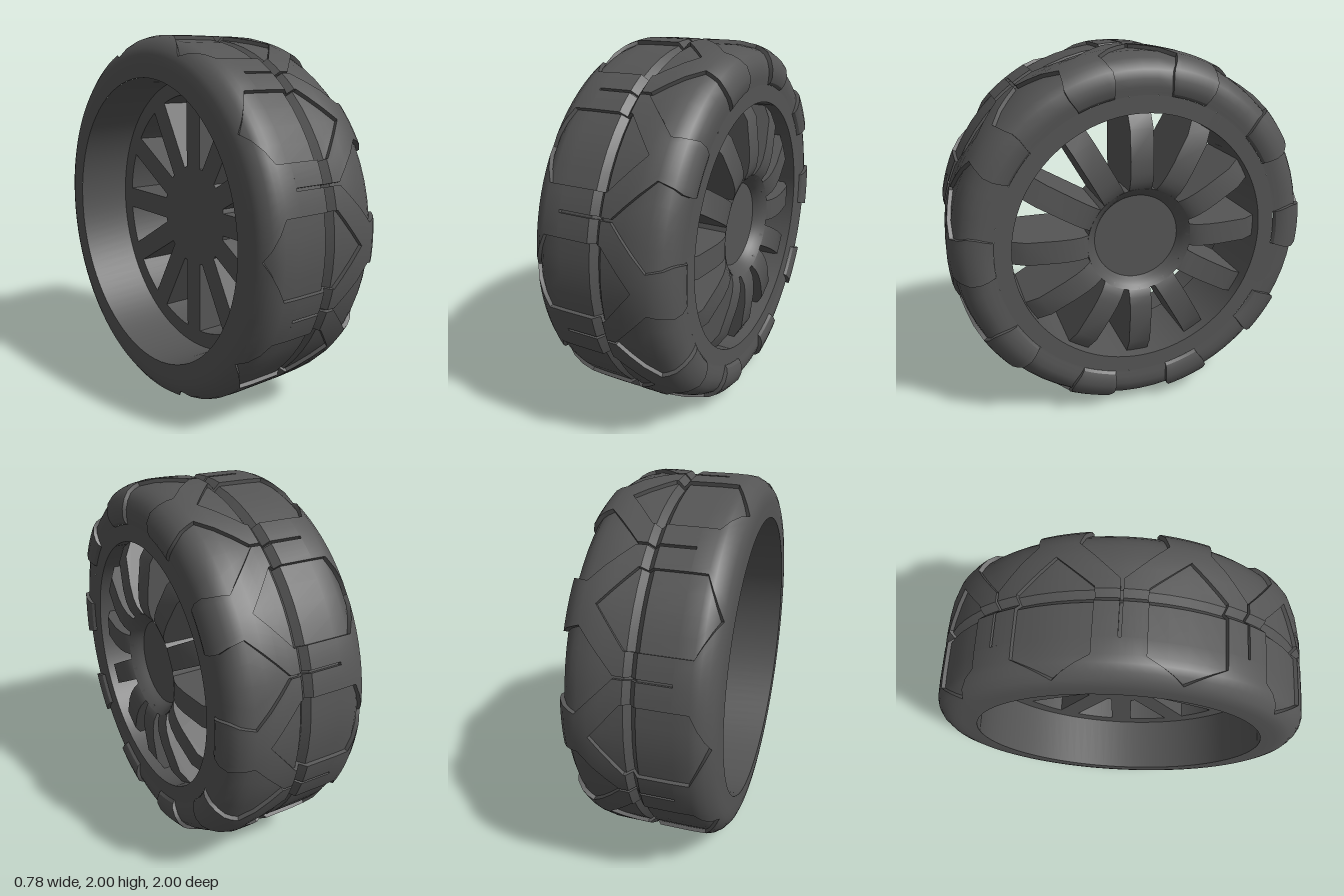
import * as THREE from 'three';
import { toCreasedNormals } from 'three/addons/utils/BufferGeometryUtils.js';

const CREASE = 0.5;
const DEG = Math.PI / 180;

// Tyre cross-section: [x, radius, half-angle of hexagonal pocket, half-angle of shoulder gap, pocket depth]
const ROWS = [
  [-0.388, 0.78, 0, 0, 0], [-0.388, 0.86, 0, 0, 0], [-0.383, 0.9, 0, 0, 0], [-0.372, 0.93, 0, 0, 0.02],
  [-0.345, 0.965, 3.3, 0, 0.02], [-0.313, 0.987, 7.1, 0, 0.02], [-0.28, 0.997, 11, 0, 0.02],
  [-0.2, 1, 11, 0, 0.02], [-0.2, 1, 11, 0.4, 0.02], [-0.03, 1, 11, 0.4, 0.02], [0, 0.968, 11, 0.4, 0.02],
  [0.03, 1, 11, 0.4, 0.02], [0.04, 1, 11, 0.4, 0.02], [0.08, 1, 8.25, 0.4, 0.02], [0.14, 1, 4.1, 4.1, 0.02],
  [0.2, 0.999, 0, 7.7, 0.02], [0.27, 0.987, 0, 12, 0.022], [0.305, 0.974, 0, 11.5, 0.022],
  [0.34, 0.952, 0, 11, 0.022], [0.372, 0.914, 0, 10, 0.022], [0.388, 0.865, 0, 10, 0.022],
  [0.387, 0.82, 0, 10.6, 0.021], [0.377, 0.793, 0, 11, 0.014], [0.362, 0.78, 0, 11, 0],
];
const PERIODS = 10;

// Half of one tread period: [angle, sunk] pairs from pocket centre to gap centre
function halfPeriod(a, g) {
  const b = 18 - g;
  const mid = (t) => a + (b - a) * t;
  return [[0, 1], [a / 2, 1], [a, 1], [a, 0], [mid(0.25), 0], [mid(0.5), 0], [mid(0.75), 0],
    [b, 0], [b, 1], [b + g / 2, 1], [18, 1]];
}

// One closed ring of points around the axle
function treadRing([x, r, a, g, depth]) {
  const half = halfPeriod(a, g);
  const period = [...half, ...half.slice(0, -1).reverse().map(([t, s]) => [36 - t, s])];
  // pockets sink towards the core of the tyre section
  const core = new THREE.Vector2(THREE.MathUtils.clamp(x, -0.25, 0.22), Math.min(r, 0.83));
  const inward = core.sub(new THREE.Vector2(x, r)).normalize().multiplyScalar(depth);
  const ring = [];
  for (let p = 0; p < PERIODS; p++) {
    for (const [t, sunk] of period) {
      const angle = (p * 36 + t) * DEG;
      const radius = r + inward.y * sunk;
      ring.push(new THREE.Vector3(x + inward.x * sunk, radius * Math.sin(angle), radius * Math.cos(angle)));
    }
  }
  return ring;
}

function tyreGeometry() {
  const rings = ROWS.map(treadRing);
  const positions = [];
  const tri = new THREE.Triangle();
  const add = (a, b, c) => {
    if (tri.set(a, b, c).getArea() > 1e-8) for (const v of [a, b, c]) positions.push(v.x, v.y, v.z);
  };
  for (let i = 0; i < rings.length - 1; i++) {
    const lo = rings[i];
    const hi = rings[i + 1];
    for (let j = 0; j < lo.length; j++) {
      const k = (j + 1) % lo.length;
      add(lo[j], hi[j], hi[k]);
      add(lo[j], hi[k], lo[k]);
    }
  }
  const geometry = new THREE.BufferGeometry();
  geometry.setAttribute('position', new THREE.Float32BufferAttribute(positions, 3));
  return toCreasedNormals(geometry, CREASE);
}

// Turned part around the x axis from [radius, x] points
function turned(points) {
  const lathe = new THREE.LatheGeometry(points.map(([r, x]) => new THREE.Vector2(r, x)), 96);
  return toCreasedNormals(lathe.rotateZ(-Math.PI / 2), CREASE);
}

// Spoke side outline in (radius, x), given its width and stood along +y
function spokeGeometry() {
  const outline = [[0.27, -0.075], [0.695, -0.075], [0.695, 0.29], [0.61, 0.34], [0.45, 0.358],
    [0.38, 0.358], [0.33, 0.35], [0.29, 0.332], [0.27, 0.315]];
  const shape = new THREE.Shape(outline.map(([r, x]) => new THREE.Vector2(r, x)));
  const geometry = new THREE.ExtrudeGeometry(shape, { depth: 0.124, bevelEnabled: false });
  geometry.translate(0, 0, -0.062);
  geometry.applyMatrix4(new THREE.Matrix4().makeBasis(
    new THREE.Vector3(0, 1, 0), new THREE.Vector3(1, 0, 0), new THREE.Vector3(0, 0, -1)));
  return toCreasedNormals(geometry, CREASE);
}

export function createModel() {
  const darkGrey = new THREE.MeshStandardMaterial({ color: 0x555555 });
  darkGrey.name = 'darkGrey';

  const wheel = new THREE.Group();
  wheel.name = 'wheel';
  wheel.position.y = 1;
  const part = (name, geometry) => {
    const mesh = new THREE.Mesh(geometry, darkGrey);
    mesh.name = name;
    wheel.add(mesh);
    return mesh;
  };

  part('tyre', tyreGeometry());

  // rim lip, spoke seat and deep open barrel
  part('rim', turned([[0.78, 0.362], [0.69, 0.36], [0.69, -0.075], [0.78, -0.075], [0.78, -0.388]]));

  // dished hub with a flat cap, flaring out into the spokes
  part('hub', turned([[0, -0.075], [0.285, -0.075], [0.29, 0.332], [0.268, 0.313], [0.25, 0.29],
    [0.235, 0.265], [0.23, 0.265], [0, 0.265]]));

  const spoke = spokeGeometry();
  for (let i = 0; i < 12; i++) part('spoke', spoke).rotation.x = i * 30 * DEG;

  const model = new THREE.Group();
  model.name = 'model';
  model.add(wheel);
  return model;
}
